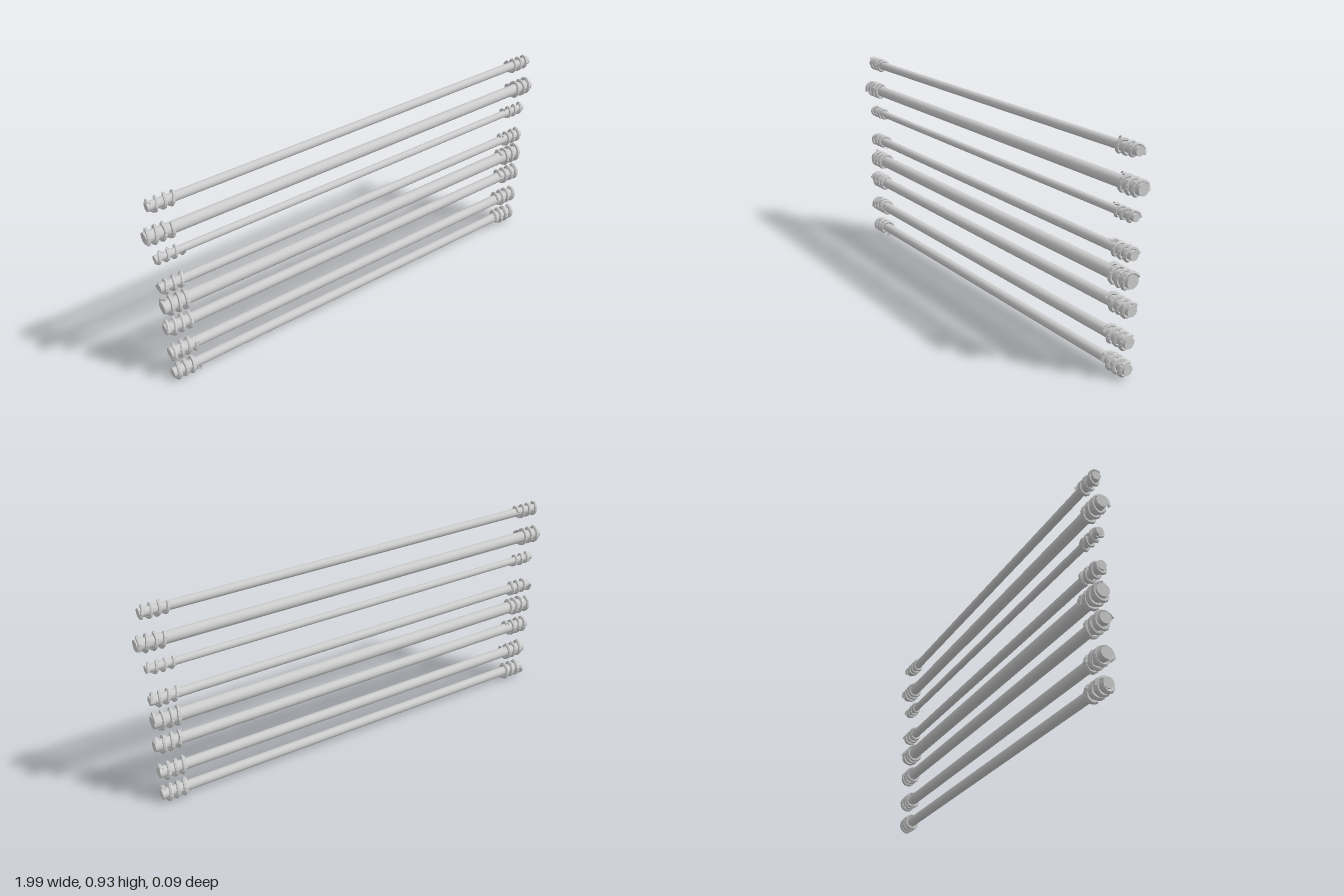
import * as THREE from 'three';

// height, rod radius, outer coil radius, half length
const RODS = [
  [0.039, 0.022, 0.038, 0.97],
  [0.152, 0.024, 0.038, 0.97],
  [0.287, 0.024, 0.038, 0.975],
  [0.402, 0.028, 0.042, 0.97],
  [0.505, 0.020, 0.033, 0.97],
  [0.651, 0.016, 0.027, 0.97],
  [0.765, 0.025, 0.038, 0.998],
  [0.898, 0.019, 0.031, 0.97],
];
const WRAP_LENGTH = 0.128;

// Small repeatable noise source
function makeRandom(seed) {
  let s = seed;
  return () => (s = (s * 16807) % 2147483647) / 2147483647;
}

// Faceted, slightly uneven wire wound around the x axis from x0 to x1
function coilGeometry(x0, x1, rodRadius, outerRadius, random) {
  const turns = 3.3;
  const steps = Math.round(turns * 7);
  const wire = (outerRadius - rodRadius) * 0.62;
  const winding = outerRadius - wire * 0.85;
  const start = random() * Math.PI * 2;
  const points = [];
  for (let i = 0; i <= steps; i++) {
    const t = i / steps;
    const angle = start + t * turns * Math.PI * 2;
    const r = winding + (random() - 0.5) * wire * 0.4;
    const x = THREE.MathUtils.lerp(x0 + wire, x1 - wire, t) + (random() - 0.5) * 0.006;
    points.push(new THREE.Vector3(x, r * Math.sin(angle), r * Math.cos(angle)));
  }
  const path = new THREE.CatmullRomCurve3(points);
  const geometry = new THREE.TubeGeometry(path, steps * 2, wire, 6).toNonIndexed();
  geometry.computeVertexNormals();
  return geometry;
}

export function createModel() {
  const model = new THREE.Group();
  model.name = 'rodSet';
  const steel = new THREE.MeshStandardMaterial({ color: 0xcccccc, side: THREE.DoubleSide });
  steel.name = 'lightGrey';

  RODS.forEach(([y, radius, outer, half], i) => {
    const rod = new THREE.Group();
    rod.name = `wrappedRod${i + 1}`;
    rod.position.y = y;
    const random = makeRandom(911 + i * 5477);

    // Straight bar
    const bar = new THREE.Mesh(new THREE.CylinderGeometry(radius, radius, half * 2 - 0.006, 24), steel);
    bar.name = 'bar';
    bar.rotation.z = Math.PI / 2;
    rod.add(bar);

    // Wire wrapping at both ends, wound in the same direction
    for (const [name, x0, x1] of [
      ['leftCoil', half - WRAP_LENGTH, half],
      ['rightCoil', -half, -half + WRAP_LENGTH],
    ]) {
      const coil = new THREE.Mesh(coilGeometry(x0, x1, radius, outer, random), steel);
      coil.name = name;
      rod.add(coil);
    }
    model.add(rod);
  });
  return model;
}
